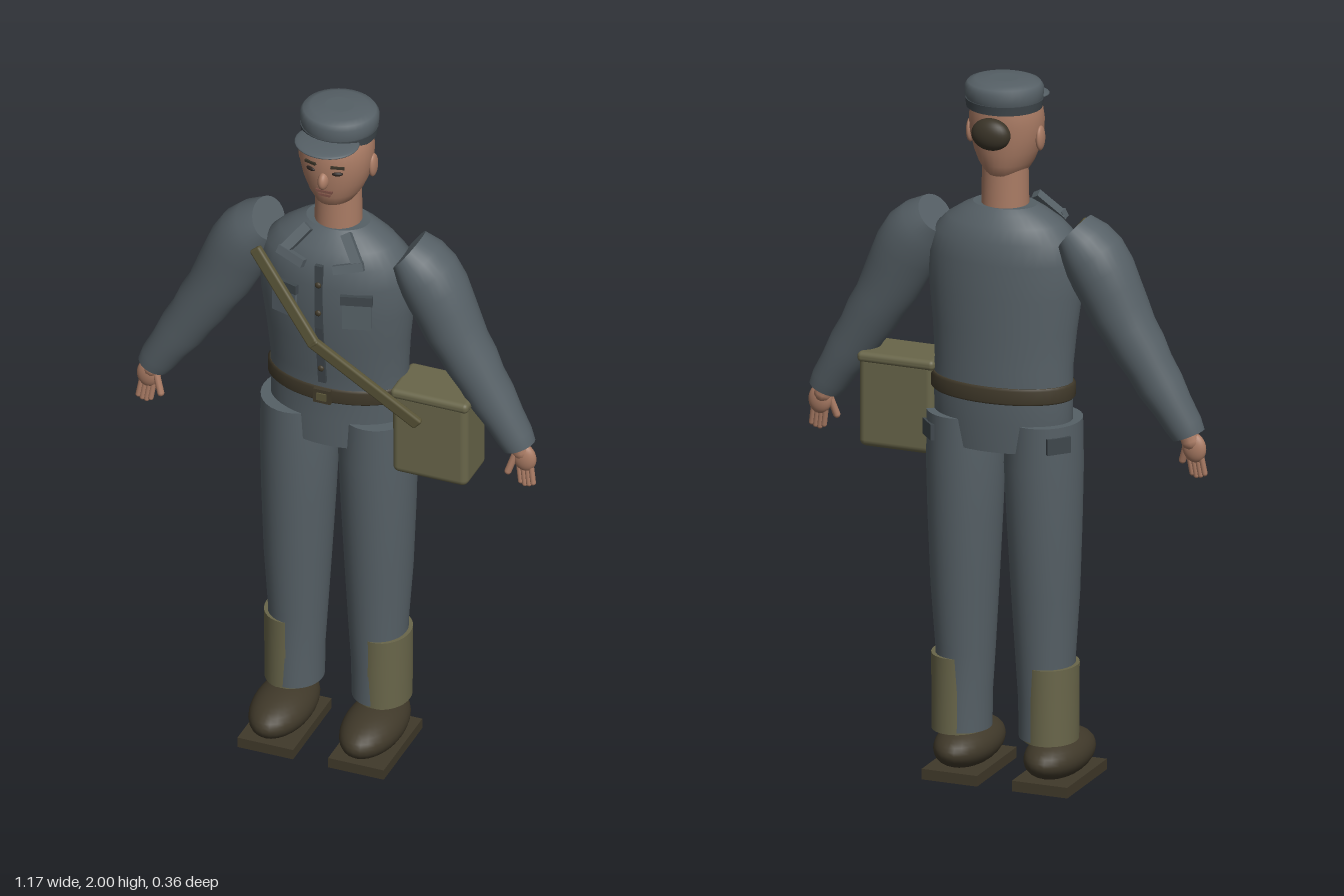
import * as THREE from 'three';
import { RoundedBoxGeometry } from 'three/addons/geometries/RoundedBoxGeometry.js';

const mat = (name, color) => {
  const m = new THREE.MeshStandardMaterial({ color });
  m.name = name;
  return m;
};

// Skin through oval rings listed bottom to top: [x, y, z, radius across, radius in z, tilt]
function loft(rings, seg = 32) {
  const pos = [], idx = [];
  const ring = ([x, y, z, ru, rz, tilt = 0]) => {
    const start = pos.length / 3;
    for (let i = 0; i < seg; i++) {
      const t = (i / seg) * Math.PI * 2, u = Math.cos(t) * ru;
      pos.push(x + u * Math.cos(tilt), y + u * Math.sin(tilt), z + Math.sin(t) * rz);
    }
    return start;
  };
  const starts = rings.map(ring);
  for (let r = 0; r < rings.length - 1; r++) {
    for (let i = 0; i < seg; i++) {
      const j = (i + 1) % seg, a = starts[r], b = starts[r + 1];
      idx.push(a + i, b + i, a + j, b + i, b + j, a + j);
    }
  }
  // flat end caps with their own vertices
  [rings[0], rings[rings.length - 1]].forEach((end, top) => {
    const s = ring(end), c = pos.length / 3;
    pos.push(end[0], end[1], end[2]);
    for (let i = 0; i < seg; i++) {
      const j = (i + 1) % seg;
      if (top) idx.push(c, s + j, s + i);
      else idx.push(c, s + i, s + j);
    }
  });
  const g = new THREE.BufferGeometry();
  g.setAttribute('position', new THREE.Float32BufferAttribute(pos, 3));
  g.setIndex(idx);
  g.computeVertexNormals();
  return g;
}

export function createModel() {
  const model = new THREE.Group();
  model.name = 'uniformedFigure';
  const cloth = mat('grey blue cloth', 0x566066);
  const dark = mat('dark cloth trim', 0x3f474c);
  const khaki = mat('khaki canvas', 0x69664a);
  const strapMat = mat('strap webbing', 0x5a5538);
  const leather = mat('dark brown leather', 0x40392a);
  const skin = mat('skin', 0xa97b64);
  const lip = mat('lips', 0x7d5146);
  const hairMat = mat('dark hair', 0x3a3428);
  const eyeMat = mat('eye dark', 0x2a221e);

  const add = (name, geo, m, p = [0, 0, 0], r = [0, 0, 0], s = [1, 1, 1]) => {
    const mesh = new THREE.Mesh(geo, m);
    mesh.name = name;
    mesh.position.set(...p);
    mesh.rotation.set(...r);
    mesh.scale.set(...s);
    model.add(mesh);
    return mesh;
  };
  const box = (name, m, size, p, r) => add(name, new THREE.BoxGeometry(...size), m, p, r);
  const ball = (name, m, radii, p, r) => add(name, new THREE.SphereGeometry(1, 28, 18), m, p, r, radii);
  // Straight limb between two points
  const rod = (name, m, a, b, radius) => {
    const A = new THREE.Vector3(...a), B = new THREE.Vector3(...b), d = B.clone().sub(A);
    const mesh = add(name, new THREE.CapsuleGeometry(radius, d.length(), 4, 10), m);
    mesh.position.copy(A).add(B).multiplyScalar(0.5);
    mesh.quaternion.setFromUnitVectors(new THREE.Vector3(0, 1, 0), d.normalize());
    return mesh;
  };

  // Jacket
  add('jacket', loft([
    [0, 0.97, -0.05, 0.185, 0.112], [0, 1.05, -0.053, 0.197, 0.116], [0, 1.13, -0.055, 0.198, 0.117],
    [0, 1.2, -0.05, 0.197, 0.12], [0, 1.3, -0.043, 0.205, 0.128], [0, 1.4, -0.037, 0.217, 0.134],
    [0, 1.5, -0.035, 0.222, 0.135], [0, 1.56, -0.036, 0.205, 0.127], [0, 1.6, -0.038, 0.165, 0.107],
    [0, 1.63, -0.041, 0.12, 0.083], [0, 1.645, -0.042, 0.09, 0.068],
  ], 40), cloth);
  add('belt', loft([
    [0, 1.112, -0.056, 0.2, 0.12], [0, 1.118, -0.056, 0.206, 0.125],
    [0, 1.152, -0.055, 0.206, 0.125], [0, 1.158, -0.055, 0.2, 0.12],
  ], 40), leather);
  box('beltBuckle', leather, [0.05, 0.042, 0.014], [0, 1.135, 0.072]);
  box('buckleCentre', strapMat, [0.028, 0.022, 0.006], [0, 1.135, 0.08]);

  // Button placket follows the chest
  box('placketUpper', dark, [0.022, 0.2, 0.012], [0, 1.47, 0.097]);
  box('placketLower', dark, [0.022, 0.2, 0.012], [0, 1.28, 0.083], [0.12, 0, 0]);
  [[1.51, 0.104], [1.42, 0.104], [1.32, 0.094], [1.23, 0.084]].forEach(([y, z]) =>
    ball('button', leather, [0.009, 0.009, 0.006], [0, y, z]));

  // Neck and head
  add('neck', loft([[0, 1.6, -0.042, 0.066, 0.064], [0, 1.76, -0.042, 0.063, 0.061]]), skin);
  add('head', loft([
    [0, 1.722, -0.03, 0.035, 0.055], [0, 1.735, -0.03, 0.056, 0.075], [0, 1.765, -0.03, 0.075, 0.087],
    [0, 1.8, -0.03, 0.09, 0.094], [0, 1.84, -0.03, 0.1, 0.099], [0, 1.88, -0.031, 0.103, 0.1],
    [0, 1.92, -0.035, 0.099, 0.097], [0, 1.95, -0.04, 0.085, 0.085],
  ]), skin);
  ball('nose', skin, [0.015, 0.026, 0.022], [0, 1.825, 0.066], [-0.3, 0, 0]);
  box('upperLip', lip, [0.048, 0.007, 0.008], [0, 1.788, 0.061]);
  box('lowerLip', lip, [0.034, 0.007, 0.008], [0, 1.775, 0.058]);
  ball('hairBun', hairMat, [0.056, 0.045, 0.032], [0, 1.865, -0.142]);

  // Cap
  add('cap', loft([
    [0, 1.922, -0.048, 0.1, 0.096], [0, 1.945, -0.048, 0.104, 0.099], [0, 1.955, -0.05, 0.108, 0.102],
    [0, 1.978, -0.05, 0.108, 0.102], [0, 1.99, -0.05, 0.1, 0.094], [0, 1.997, -0.05, 0.08, 0.074],
    [0, 2.0, -0.05, 0.04, 0.036],
  ]), cloth);
  add('capBand', loft([
    [0, 1.92, -0.048, 0.104, 0.099], [0, 1.945, -0.048, 0.107, 0.102],
  ]), dark);
  ball('capVisor', cloth, [0.09, 0.011, 0.078], [0, 1.933, 0.04], [0.05, 0, 0]);

  for (const s of [1, -1]) {
    const side = s > 0 ? 'left' : 'right';

    // Face details
    box(side + 'Eyebrow', hairMat, [0.038, 0.007, 0.008], [s * 0.039, 1.873, 0.062], [0, s * 0.36, s * -0.08]);
    ball(side + 'Eye', eyeMat, [0.015, 0.006, 0.006], [s * 0.039, 1.852, 0.061], [0, s * 0.36, 0]);
    ball(side + 'Ear', skin, [0.011, 0.035, 0.022], [s * 0.102, 1.837, -0.04]);

    // Collar
    box(side + 'CollarUpper', cloth, [0.028, 0.1, 0.022], [s * 0.083, 1.615, 0.062], [-0.6, 0, s * 0.6]);
    box(side + 'CollarLapel', cloth, [0.085, 0.024, 0.02], [s * 0.083, 1.578, 0.092], [-0.35, s * 0.15, s * 0.3]);

    // Chest pockets
    box(side + 'ChestPocket', cloth, [0.078, 0.1, 0.016], [s * 0.104, 1.435, 0.083], [0, s * 0.28, 0]);
    box(side + 'PocketFlap', dark, [0.088, 0.028, 0.022], [s * 0.104, 1.477, 0.084], [0, s * 0.28, 0]);
    box(side + 'HipPocket', dark, [0.07, 0.045, 0.018], [s * 0.188, 1.0, -0.122], [0, s * 2.3, 0]);

    // Sleeve with soft folds
    add(side + 'Sleeve', loft([
      [0.532, 1.046, -0.03, 0.046, 0.045, 0.4], [0.516, 1.075, -0.031, 0.052, 0.051, 0.45],
      [0.485, 1.125, -0.033, 0.056, 0.056, 0.5], [0.45, 1.18, -0.035, 0.066, 0.064, 0.54],
      [0.42, 1.23, -0.036, 0.067, 0.066, 0.54], [0.39, 1.28, -0.038, 0.075, 0.074, 0.52],
      [0.363, 1.325, -0.039, 0.076, 0.076, 0.5], [0.335, 1.375, -0.04, 0.084, 0.082, 0.48],
      [0.312, 1.425, -0.042, 0.087, 0.085, 0.48], [0.288, 1.475, -0.043, 0.091, 0.092, 0.55],
      [0.262, 1.52, -0.044, 0.089, 0.094, 0.68], [0.235, 1.555, -0.044, 0.077, 0.092, 0.8],
      [0.205, 1.587, -0.044, 0.056, 0.08, 0.9],
    ].map(([x, y, z, u, v, t]) => [s * x, y, z, u, v, s * t])), cloth);

    // Hand
    rod(side + 'Wrist', skin, [s * 0.527, 1.06, -0.03], [s * 0.538, 1.03, -0.03], 0.026);
    ball(side + 'Palm', skin, [0.034, 0.042, 0.02], [s * 0.547, 1.012, -0.028], [0, 0, s * 0.15]);
    for (let i = 0; i < 4; i++) {
      const x = 0.531 + i * 0.012;
      rod(side + 'Finger', skin, [s * x, 0.99, -0.027], [s * (x + 0.008), 0.93 + Math.abs(i - 1.3) * 0.006, -0.022], 0.008);
    }
    rod(side + 'Thumb', skin, [s * 0.523, 1.02, -0.022], [s * 0.506, 0.967, -0.012], 0.01);

    // Trousers, gaiter and shoe
    add(side + 'TrouserLeg', loft([
      [0.123, 0.145, -0.04, 0.077, 0.084], [0.122, 0.25, -0.04, 0.078, 0.084], [0.117, 0.37, -0.04, 0.081, 0.086],
      [0.118, 0.55, -0.042, 0.092, 0.1], [0.116, 0.75, -0.044, 0.101, 0.11], [0.114, 0.92, -0.045, 0.107, 0.115],
      [0.116, 1.05, -0.046, 0.103, 0.114],
    ].map(([x, ...rest]) => [s * x, ...rest])), cloth);
    add(side + 'Gaiter', loft([
      [s * 0.134, 0.14, -0.042, 0.074, 0.086], [s * 0.134, 0.355, -0.041, 0.075, 0.088],
    ]), khaki);
    ball(side + 'Shoe', leather, [0.083, 0.062, 0.158], [s * 0.132, 0.08, 0.022]);
    box(side + 'Sole', leather, [0.162, 0.03, 0.275], [s * 0.132, 0.015, 0.02]);
  }

  // Satchel with lid
  add('satchel', new RoundedBoxGeometry(0.22, 0.26, 0.145, 3, 0.02), khaki, [0.297, 1.046, -0.03]);
  add('satchelLid', new RoundedBoxGeometry(0.226, 0.03, 0.153, 3, 0.013), khaki, [0.297, 1.17, -0.03]);

  // Strap in two flat runs meeting at the chest
  const joints = [[-0.185, 1.565, 0.088], [0, 1.345, 0.138], [0.265, 1.105, 0.056]];
  for (let i = 0; i < 2; i++) {
    const A = new THREE.Vector3(...joints[i]), B = new THREE.Vector3(...joints[i + 1]);
    const d = B.clone().sub(A), y = d.clone().normalize();
    const x = y.clone().cross(new THREE.Vector3(0, 0, 1)).normalize();
    const m = add('shoulderStrap', new RoundedBoxGeometry(0.036, d.length() + 0.02, 0.02, 2, 0.007), strapMat);
    m.position.copy(A).add(B).multiplyScalar(0.5);
    m.quaternion.setFromRotationMatrix(new THREE.Matrix4().makeBasis(x, y, x.clone().cross(y)));
  }
  return model;
}
